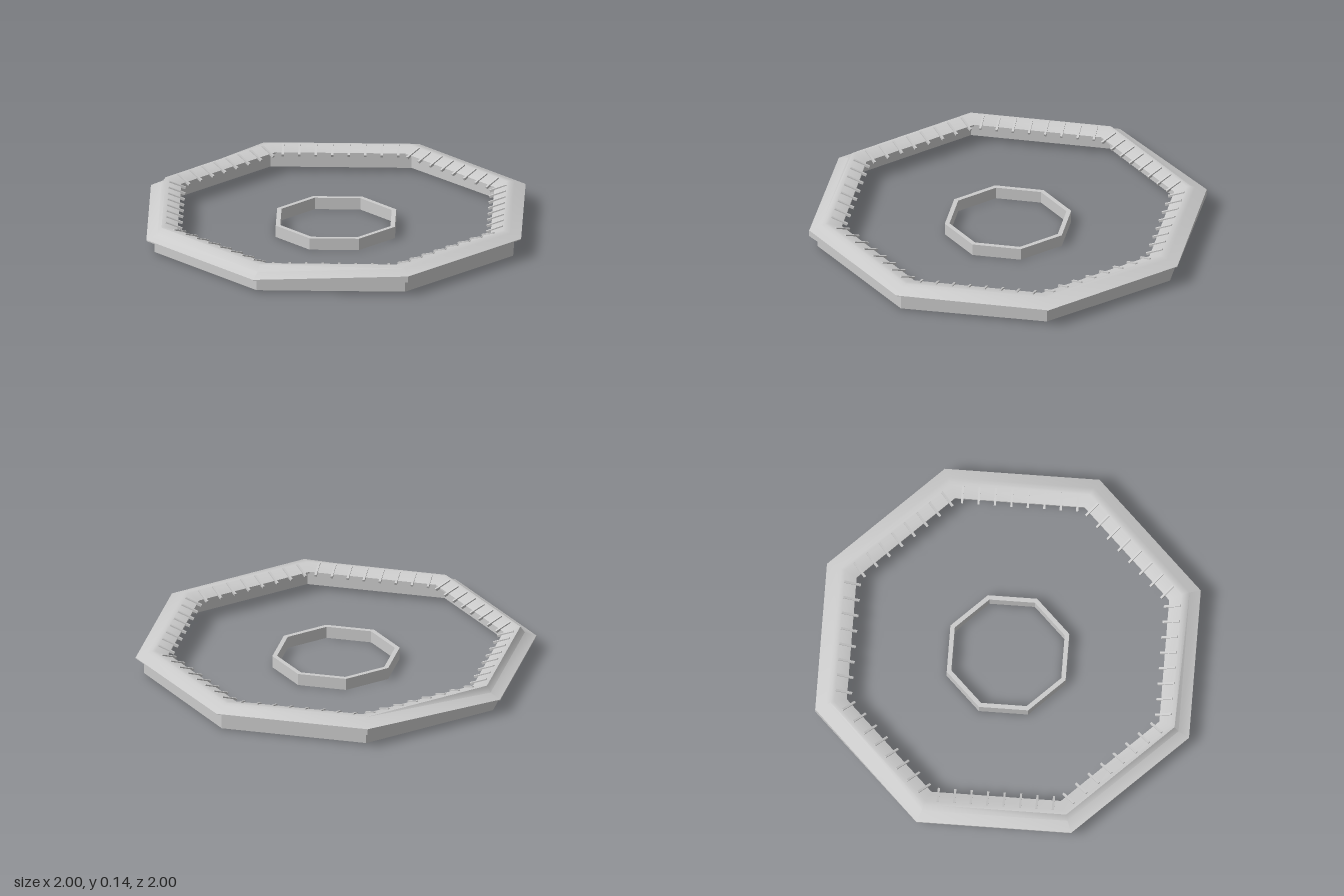
import * as THREE from 'three';
import { toCreasedNormals } from 'three/addons/utils/BufferGeometryUtils.js';

const SIDES = 8;
const STEP = (Math.PI * 2) / SIDES;
const material = new THREE.MeshStandardMaterial({ color: 0xcccccc, side: THREE.DoubleSide });

// Sweeps a closed [radius, y] profile, which may differ per corner, round the octagon
function octagonRing(name, profileAt, crease) {
  const pos = [];
  const corner = (k, i) => {
    const profile = profileAt(k % SIDES);
    const [r, y] = profile[i % profile.length];
    return [r * Math.cos(k * STEP), y, r * Math.sin(k * STEP)];
  };
  const count = profileAt(0).length;
  for (let k = 0; k < SIDES; k++) {
    for (let i = 0; i < count; i++) {
      const a = corner(k, i), b = corner(k, i + 1);
      const c = corner(k + 1, i + 1), d = corner(k + 1, i);
      pos.push(...a, ...b, ...c, ...a, ...c, ...d);
    }
  }
  const geo = new THREE.BufferGeometry();
  geo.setAttribute('position', new THREE.Float32BufferAttribute(pos, 3));
  geo.computeVertexNormals();
  const mesh = new THREE.Mesh(toCreasedNormals(geo, crease), material);
  mesh.name = name;
  return mesh;
}

// Corners 7, 0, 1 face +x, corners 3, 4, 5 face -x
const isEast = (k) => k <= 1 || k === 7;
const isWest = (k) => k >= 3 && k <= 5;

export function createModel() {
  const model = new THREE.Group();
  model.name = 'octagonalEnclosure';

  // Outer wall, its bottom and top a little higher on the +x side
  model.add(octagonRing('outerWall', (k) => {
    const bottom = k === 0 ? 0.014 : 0.007;
    const top = isEast(k) ? 0.1 : 0.085;
    return [[0.91, bottom], [0.957, bottom], [0.957, top], [0.91, top]];
  }, 0.1));

  // Roof: eave, ridge and inner slope; the eave hangs lower away from +x
  model.add(octagonRing('roof', (k) => {
    const eaveBottom = isEast(k) ? 0.098 : 0.07;
    const eaveTop = isWest(k) ? 0.076 : 0.102;
    const bend = isWest(k) ? 0.098 : 0.123;
    return [
      [1, eaveBottom], [1, eaveTop], [0.942, bend], [0.92, 0.13],
      [0.9, 0.13], [0.836, 0.108], [0.836, 0.1],
    ];
  }, 0.7));

  // Battens on the inner slope, eight to a side, tips past the roof edge
  const battens = new THREE.Group();
  battens.name = 'battens';
  const apothem = Math.cos(STEP / 2);
  const inner = 0.836 * apothem - 0.022;
  const outer = 0.9 * apothem;
  const slope = Math.atan2(0.022, 0.064 * apothem);
  const battenGeo = new THREE.BoxGeometry((outer - inner) / Math.cos(slope), 0.012, 0.011);
  const spacing = (2 * 0.85 * Math.sin(STEP / 2)) / 8;
  for (let s = 0; s < SIDES; s++) {
    const side = new THREE.Group();
    side.name = 'battenRow';
    side.rotation.y = (s + 0.5) * STEP;
    for (let i = 0; i < 8; i++) {
      const batten = new THREE.Mesh(battenGeo, material);
      batten.name = 'batten';
      batten.position.set((inner + outer) / 2, 0.115, (i - 3.5) * spacing);
      batten.rotation.z = slope;
      side.add(batten);
    }
    battens.add(side);
  }
  model.add(battens);

  // Low octagonal kerb in the middle
  model.add(octagonRing('innerRing', () => [
    [0.294, 0], [0.318, 0], [0.318, 0.06], [0.294, 0.06],
  ], 0.1));

  return model;
}
